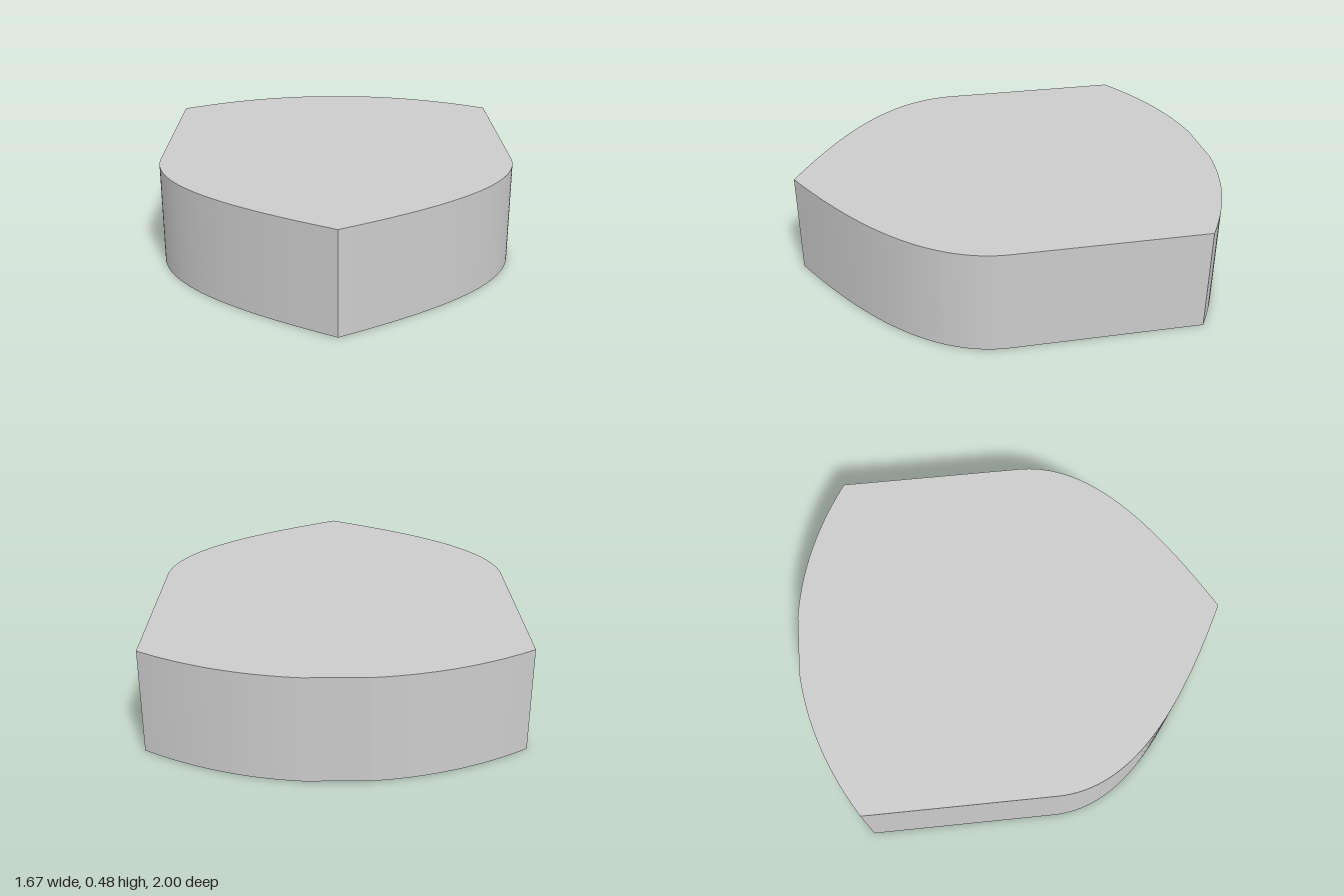
import * as THREE from 'three';

const HEIGHT = 0.48;
const HALF_WIDTH = 0.833;

// Shield outline drawn in plan; shape y is the model's -z
function shieldOutline() {
  const s = new THREE.Shape();
  s.moveTo(0, -1); // front tip
  s.bezierCurveTo(0.43, -0.77, HALF_WIDTH, -0.5, HALF_WIDTH, -0.13);
  s.lineTo(HALF_WIDTH, 0.75); // straight side
  s.quadraticCurveTo(0.5, 0.965, 0.14, 1); // bowed back edge
  s.lineTo(-0.14, 1);
  s.quadraticCurveTo(-0.5, 0.965, -HALF_WIDTH, 0.75);
  s.lineTo(-HALF_WIDTH, -0.13);
  s.bezierCurveTo(-HALF_WIDTH, -0.5, -0.43, -0.77, 0, -1);
  return s;
}

export function createModel() {
  const group = new THREE.Group();
  group.name = 'shieldBlock';

  // Solid slab, laid flat with its base on the ground
  const geometry = new THREE.ExtrudeGeometry(shieldOutline(), {
    depth: HEIGHT,
    bevelEnabled: false,
    curveSegments: 40,
  });
  geometry.rotateX(-Math.PI / 2);

  const slab = new THREE.Mesh(
    geometry,
    new THREE.MeshStandardMaterial({ color: 0xcccccc, flatShading: true })
  );
  slab.name = 'shieldSlab';
  group.add(slab);
  return group;
}
